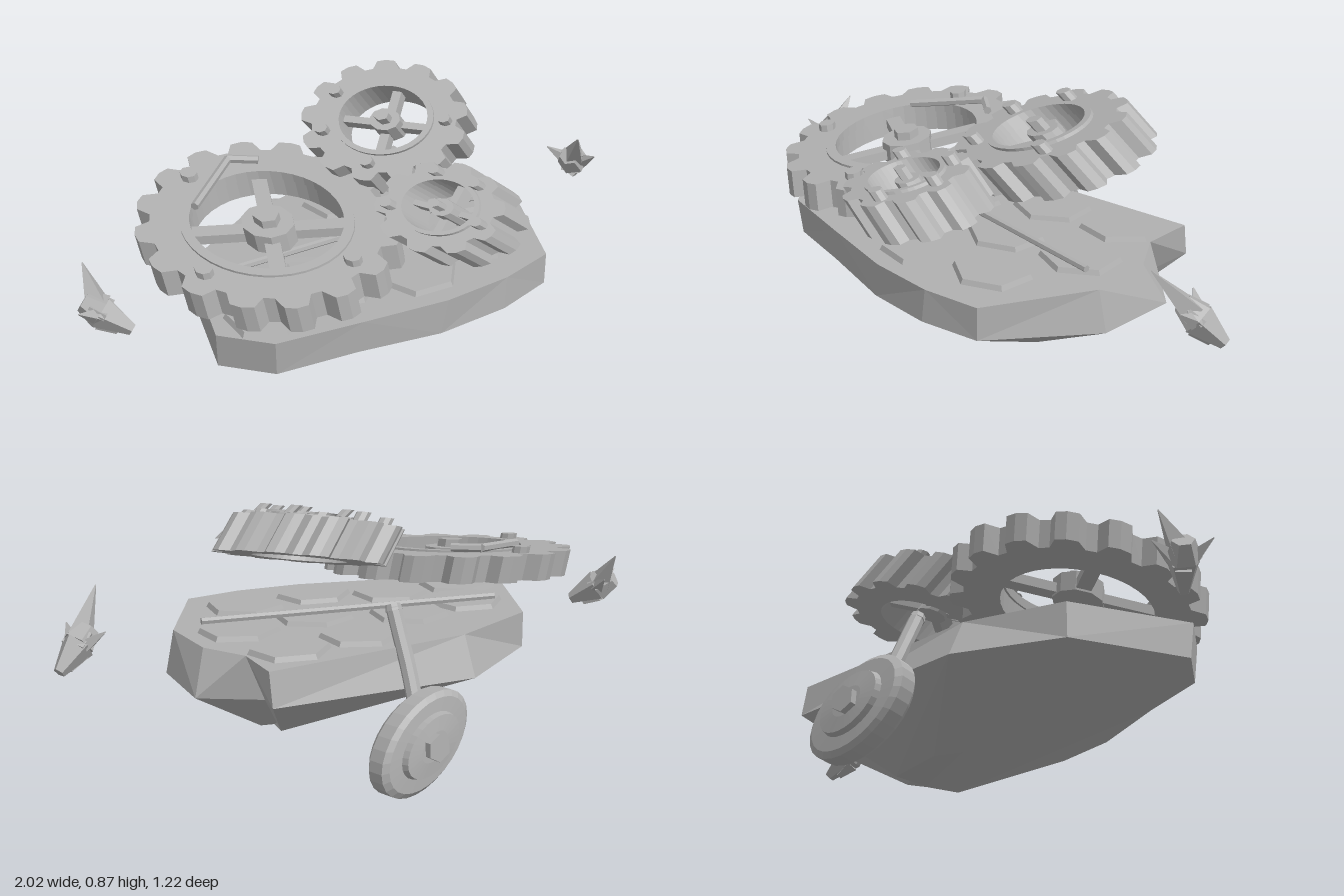
import * as THREE from 'three';

const stone = new THREE.MeshStandardMaterial({ color: 0xb0b0b0, flatShading: true });
stone.name = 'stone grey';
const V = (x, y, z) => new THREE.Vector3(x, y, z);

function add(parent, geometry, name) {
  const mesh = new THREE.Mesh(geometry, stone);
  mesh.name = name;
  parent.add(mesh);
  return mesh;
}

// Tapered rod between two points
function rod(parent, name, a, b, ra, rb, sides = 6) {
  const from = V(...a), dir = V(...b).sub(from), len = dir.length();
  const mesh = add(parent, new THREE.CylinderGeometry(rb, ra, len, sides).translate(0, len / 2, 0), name);
  mesh.position.copy(from);
  mesh.quaternion.setFromUnitVectors(V(0, 1, 0), dir.normalize());
  return mesh;
}

function circlePath(r) {
  return new THREE.Path().absarc(0, 0, r, 0, Math.PI * 2, true);
}

// Leaning gear: base = underside centre, lift = vector to the top face,
// slopeX / slopeZ = rise of its plane along x and towards the back
function makeGear(name, o) {
  const g = new THREE.Group();
  g.name = name;
  const m = new THREE.Matrix4().set(
    1, 0, o.lift[0], o.base[0],
    o.slopeX, o.slopeZ, o.lift[1], o.base[1],
    0, -o.depthScale, o.lift[2], o.base[2],
    0, 0, 0, 1);
  const put = (geo, n) => add(g, geo.applyMatrix4(m), n);
  const slab = (shape, z0, z1) =>
    new THREE.ExtrudeGeometry(shape, { depth: z1 - z0, bevelEnabled: false, curveSegments: 20 }).translate(0, 0, z0);
  const post = (x, y, r, z0, z1, sides) =>
    new THREE.CylinderGeometry(r, r, z1 - z0, sides).rotateX(Math.PI / 2).translate(x, y, (z0 + z1) / 2);

  // toothed ring
  const pts = [];
  for (let i = 0; i < o.teeth; i++) {
    for (const [f, k] of [[0, o.root], [0.24, o.root], [0.4, 0.985], [0.62, 1], [0.85, 0.985]]) {
      const a = (i + f) / o.teeth * Math.PI * 2;
      pts.push(new THREE.Vector2(Math.cos(a) * o.r * k, Math.sin(a) * o.r * k));
    }
  }
  const ring = new THREE.Shape(pts);
  ring.holes.push(circlePath(o.hole));
  put(slab(ring, 0, 1), 'toothedRing');

  // raised lip around the opening
  const lip = new THREE.Shape().absarc(0, 0, o.hole * 1.1, 0, Math.PI * 2);
  lip.holes.push(circlePath(o.hole * 0.97));
  put(slab(lip, 0.75, 1.08), 'lip');

  // four spokes, hub and axle pin
  for (let i = 0; i < 4; i++) {
    const w = o.hole * 0.2, a = o.spin + i * Math.PI / 2;
    put(new THREE.BoxGeometry(o.hole, w, 0.35).translate(o.hole / 2, 0, 0.5).rotateZ(a), 'spoke');
  }
  put(post(0, 0, o.hole * 0.34, 0.25, 0.95, 10), 'hub');
  put(post(0, 0, o.hole * 0.17, 0.9, 1.25, 6), 'axlePin');

  // studs on the face
  for (const a of o.studs) {
    const r = (o.hole * 1.12 + o.r * o.root) / 2;
    put(post(Math.cos(a) * r, Math.sin(a) * r, o.studR, 0.9, 1.25, 8), 'stud');
  }
  return g;
}

// Faceted hull: deck outline, widest rim, keel ring
function makeHull() {
  const deck = [[0.53, -0.36], [0.51, -0.18], [0.58, -0.03], [0.57, 0.2], [0.35, 0.525], [0.15, 0.53],
    [-0.08, 0.49], [-0.36, 0.39], [-0.63, 0.29], [-0.73, 0.13], [-0.53, -0.25], [-0.2, -0.36]];
  const rim = [[0.53, 0.31, -0.38], [0.45, 0.27, -0.19], [0.64, 0.28, -0.085], [0.6, 0.28, 0.2], [0.35, 0.31, 0.525],
    [0.14, 0.31, 0.535], [-0.1, 0.3, 0.48], [-0.37, 0.31, 0.38], [-0.62, 0.3, 0.28], [-0.72, 0.3, 0.12],
    [-0.53, 0.3, -0.25], [-0.2, 0.29, -0.42]];
  const n = deck.length;
  const keel = rim.map(([x, , z], i) => {
    const kx = 0.28 + (x - 0.28) * 0.26;
    return [kx, 0.12 + 0.19 * Math.max(0, 0.2 - kx) + (i % 2) * 0.012, z * 0.28];
  });
  const rings = [deck.map(([x, z]) => [x, 0.422, z]), rim, keel];
  const p = [];
  for (let i = 0; i < n; i++) {
    const j = (i + 1) % n;
    p.push([0, 0.425, 0], rings[0][j], rings[0][i]);
    for (let k = 0; k < 2; k++) {
      const [a, b, c, d] = [rings[k][i], rings[k][j], rings[k + 1][j], rings[k + 1][i]];
      if (i % 2) p.push(a, b, c, a, c, d);
      else p.push(a, b, d, b, c, d);
    }
    p.push(keel[i], keel[j], [0.31, 0.105, 0]);
  }
  const geo = new THREE.BufferGeometry();
  geo.setAttribute('position', new THREE.Float32BufferAttribute(p.flat(), 3));
  geo.computeVertexNormals();
  return geo;
}

// Horned beast head: skull, snout, jaw, crest and side horns
function makeHead(name, c, nose, crest) {
  const g = new THREE.Group();
  g.name = name;
  const at = (d, k = 1) => c.map((v, i) => v + d[i] * k);
  const f = V(...nose), side = f.clone().cross(V(0, 1, 0)).normalize().toArray();
  rod(g, 'neck', at(nose, -0.5), at(nose, 0.05), 0.035, 0.056, 6);
  rod(g, 'snout', at(nose, 0.05), at(nose, 1), 0.056, 0.02, 5);
  const low = at([0, -0.035, 0]);
  rod(g, 'jaw', low, low.map((v, i) => v + nose[i] * 0.55), 0.034, 0.014, 4);
  const back = crest.map((v, i) => v - c[i]);
  rod(g, 'crest', at(back, 0.1), crest, 0.045, 0.002, 4);
  for (const s of [-1, 1]) {
    const root = at(side, 0.03 * s);
    const tip = root.map((v, i) => v + side[i] * 0.06 * s - nose[i] * 0.35 + (i === 1 ? 0.02 : 0));
    rod(g, 'sideHorn', root, tip, 0.028, 0.002, 4);
    const eye = at(nose, 0.3).map((v, i) => v + side[i] * 0.035 * s + (i === 1 ? 0.02 : 0));
    rod(g, 'brow', eye, eye.map((v, i) => v - nose[i] * 0.5), 0.016, 0.008, 4);
  }
  return g;
}

export function createModel() {
  const model = new THREE.Group();
  model.name = 'gearIsland';
  add(model, makeHull(), 'hull');

  // broad, flat six-sided paving plates on the deck
  const plates = new THREE.Group();
  plates.name = 'deckPlates';
  model.add(plates);
  const spots = [[0.24, 0.31], [0.4, 0.06], [0.37, -0.21], [0.11, 0.07], [0.1, -0.2], [-0.04, 0.32],
    [-0.18, -0.07], [-0.28, 0.19], [-0.44, -0.04], [-0.55, 0.16]];
  spots.forEach(([x, z], i) => {
    const plate = add(plates, new THREE.CylinderGeometry(0.13, 0.14, 0.018, 6), 'plate');
    plate.scale.z = 0.92;
    plate.rotation.y = 0.2 * ((i % 3) - 1);
    plate.position.set(x, 0.43, z);
  });
  rod(model, 'deckRod', [-0.52, 0.447, -0.1], [0.49, 0.45, 0.155], 0.012, 0.012);

  // three leaning gears
  model.add(makeGear('largeGear', {
    base: [-0.375, 0.541, -0.005], lift: [-0.015, 0.088, -0.008], slopeX: 0.08, slopeZ: 0.115, depthScale: 1.06,
    r: 0.41, root: 0.88, hole: 0.245, teeth: 16, spin: 0.95, studs: [1.7, 3.35, 4.9], studR: 0.028 }));
  model.add(makeGear('mediumGear', {
    base: [0.255, 0.678, -0.08], lift: [-0.095, 0.102, 0.035], slopeX: 0.23, slopeZ: 0.19, depthScale: 0.96,
    r: 0.285, root: 0.86, hole: 0.155, teeth: 13, spin: 0.6, studs: [1.7, 2.6, 3.7, 5.4], studR: 0.024 }));
  model.add(makeGear('smallGear', {
    base: [0.075, 0.613, 0.408], lift: [-0.11, 0.092, -0.012], slopeX: 0.19, slopeZ: 0.15, depthScale: 0.98,
    r: 0.205, root: 0.84, hole: 0.118, teeth: 10, spin: 0.4, studs: [0.8, 2.3, 4.9, 6.1], studR: 0.022 }));

  // bent brace across the large gear
  const bends = [[-0.53, 0.655, -0.2], [-0.29, 0.69, -0.32], [-0.22, 0.687, -0.25]];
  for (let i = 0; i < 2; i++) rod(model, 'gearBrace', bends[i], bends[i + 1], 0.014, 0.014);

  // stem carrying the rear wheel
  const stem = new THREE.CatmullRomCurve3(
    [V(0.05, 0.54, -0.315), V(0.05, 0.48, -0.343), V(0.05, 0.35, -0.405), V(0.06, 0.2, -0.475)]);
  add(model, new THREE.TubeGeometry(stem, 8, 0.026, 8), 'wheelStem');
  rod(model, 'stemCap', [0.05, 0.53, -0.318], [0.05, 0.55, -0.31], 0.029, 0.024, 8);

  // rear wheel, an oval tilted disc with stepped centre
  const wheel = new THREE.Group();
  wheel.name = 'rearWheel';
  const profile = [[0, 0.05], [0.1, 0.06], [0.15, 0.052], [0.168, 0.03], [0.168, -0.03], [0.15, -0.045],
    [0.105, -0.048], [0.1, -0.07], [0.05, -0.075], [0, -0.075]].reverse().map(([r, y]) => new THREE.Vector2(r, y));
  add(wheel, new THREE.LatheGeometry(profile, 28).rotateX(Math.PI / 2).scale(1.2, 0.77, 1).rotateZ(-0.62), 'wheelDisc');
  add(wheel, new THREE.CylinderGeometry(0.045, 0.045, 0.03, 6).rotateX(Math.PI / 2).translate(0, 0, -0.082), 'wheelNut');
  wheel.position.set(0.085, 0.157, -0.51);
  wheel.rotation.set(0.06, 0.12, 0);
  model.add(wheel);

  // two floating heads
  model.add(makeHead('leftHead', [0.905, 0.435, 0.185], [0.084, -0.075, -0.03], [0.8, 0.59, 0.28]));
  model.add(makeHead('rightHead', [-0.925, 0.45, -0.19], [0.06, -0.06, 0.08], [-0.91, 0.575, -0.285]));
  return model;
}
